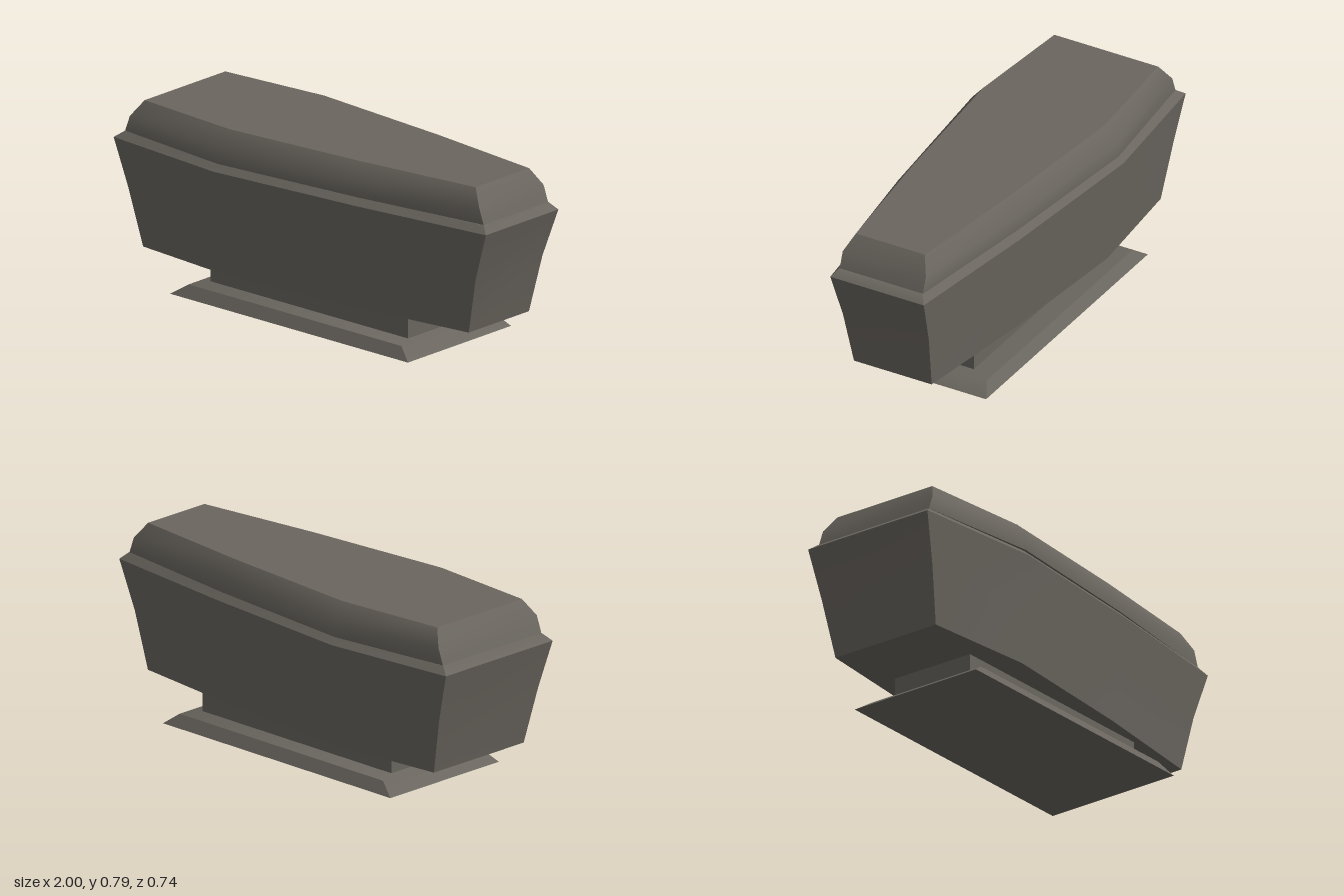
import * as THREE from 'three';
import { toCreasedNormals } from 'three/addons/utils/BufferGeometryUtils.js';

// One horizontal outline: half-widths zs at stations xs, mirrored across z.
function ring(y, xs, zs) {
  const front = xs.map((x, i) => [x, y, zs[i]]);
  const back = xs.map((x, i) => [x, y, -zs[i]]).reverse();
  return [...front, ...back];
}

// Rectangular outline.
const rect = (y, x0, x1, z) => ring(y, [x0, x1], [z, z]);

// Skin a stack of outlines and cap both ends; soft bends smooth, hard edges sharp.
function loft(name, rings, material) {
  const n = rings[0].length;
  const index = [];
  for (let r = 0; r < rings.length - 1; r++) {
    for (let i = 0; i < n; i++) {
      const j = (i + 1) % n;
      const a = r * n + i, b = r * n + j, c = b + n, d = a + n;
      index.push(a, b, c, a, c, d);
    }
  }
  const top = (rings.length - 1) * n;
  for (let i = 1; i < n - 1; i++) {
    index.push(0, i + 1, i);
    index.push(top, top + i, top + i + 1);
  }
  const geometry = new THREE.BufferGeometry();
  geometry.setAttribute('position', new THREE.Float32BufferAttribute(rings.flat(2), 3));
  geometry.setIndex(index);
  const mesh = new THREE.Mesh(toCreasedNormals(geometry, 0.78), material);
  mesh.name = name;
  return mesh;
}

export function createModel() {
  const stone = new THREE.MeshStandardMaterial({ color: 0x6a665f });
  stone.name = 'grey stone';
  const group = new THREE.Group();
  group.name = 'stoneCoffin';

  // Flared foot with a hollowed underside
  group.add(loft('foot', [
    rect(0.048, -0.565, 0.54, 0.197),
    rect(0, -0.68, 0.65, 0.32),
    rect(0.05, -0.605, 0.585, 0.288),
  ], stone));

  // Pedestal neck
  group.add(loft('neck', [
    rect(0.05, -0.565, 0.54, 0.197),
    rect(0.15, -0.565, 0.54, 0.197),
  ], stone));

  // Tapered body, widest at the shoulders, with a bevelled rim
  group.add(loft('body', [
    ring(0.148, [-0.88, -0.36, 0.31, 0.87], [0.265, 0.312, 0.258, 0.187]),
    ring(0.4, [-0.938, -0.375, 0.33, 0.927], [0.292, 0.344, 0.284, 0.207]),
    ring(0.614, [-1, -0.39, 0.35, 1], [0.315, 0.372, 0.306, 0.225]),
    ring(0.644, [-0.96, -0.385, 0.34, 0.968], [0.29, 0.343, 0.279, 0.202]),
  ], stone));

  // Lid with upright lower edge and sloped shoulders
  group.add(loft('lid', [
    ring(0.645, [-0.958, -0.385, 0.34, 0.965], [0.29, 0.353, 0.285, 0.2]),
    ring(0.715, [-0.932, -0.385, 0.34, 0.94], [0.29, 0.353, 0.285, 0.2]),
    ring(0.785, [-0.885, -0.37, 0.32, 0.89], [0.25, 0.293, 0.234, 0.166]),
  ], stone));

  return group;
}
